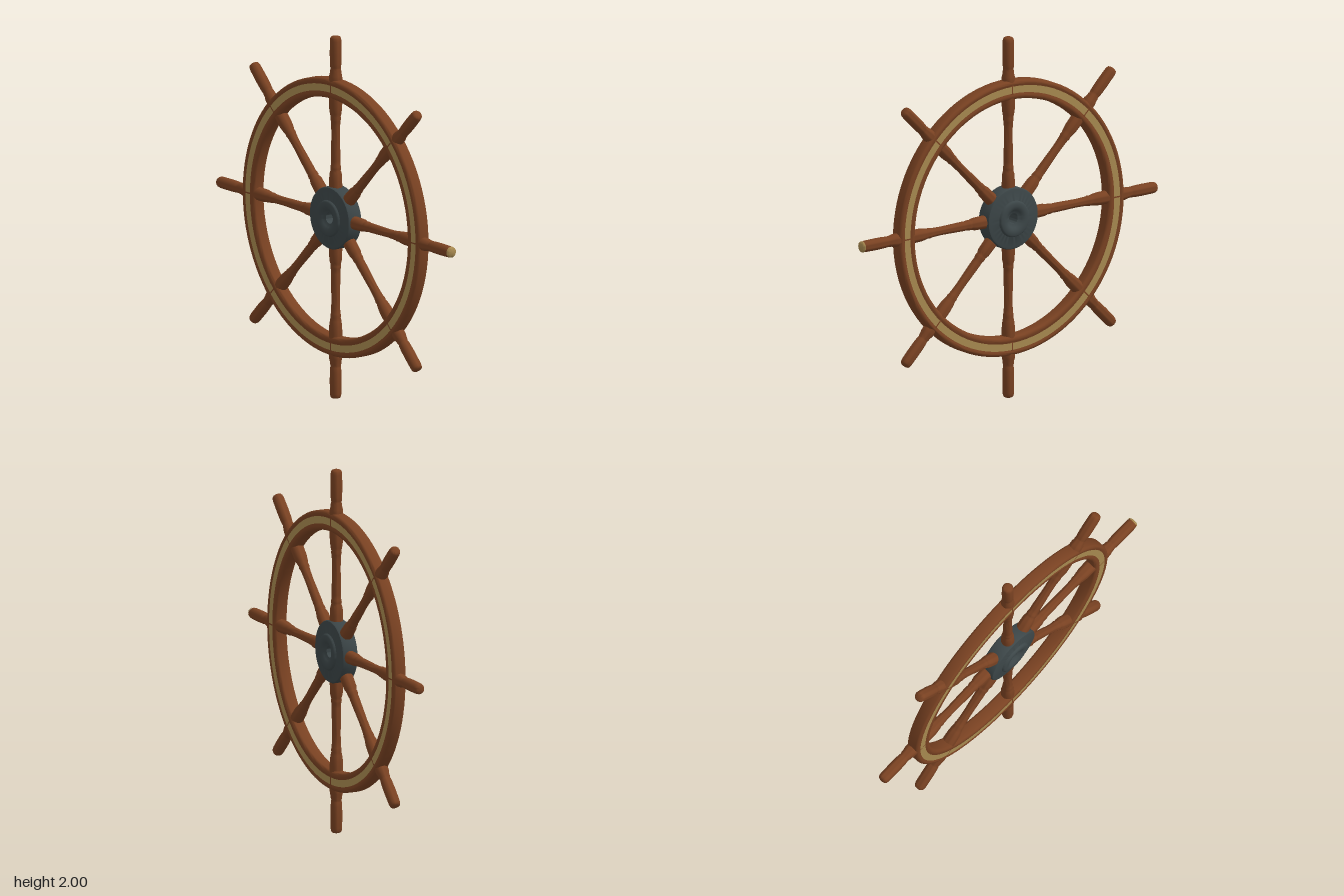
import * as THREE from 'three';
import { toCreasedNormals } from 'three/addons/utils/BufferGeometryUtils.js';

const mat = (name, color) => new THREE.MeshStandardMaterial({ name, color });

// Turned solid from [radius, height] pairs, with crisp steps kept sharp
function turned(points, segments, crease = 0.6) {
  const profile = points.map(([r, h]) => new THREE.Vector2(r, h));
  return toCreasedNormals(new THREE.LatheGeometry(profile, segments), crease);
}

// Closed ring around z, symmetric front to back, from the front half of its section
// (listed from the outer edge to the inner edge)
function ring(half, segments) {
  const back = half.map(([r, h]) => [r, -h]).reverse();
  return turned([...half, ...back, half[0]], segments).rotateX(Math.PI / 2);
}

export function createModel() {
  const wood = mat('wood', 0x7a4222);
  const brass = mat('brass', 0xa88a50);
  const iron = mat('iron', 0x3c4648);

  const wheel = new THREE.Group();
  wheel.name = 'shipWheel';
  wheel.position.y = 1;
  const add = (name, geometry, material, parent = wheel) => {
    const mesh = new THREE.Mesh(geometry, material);
    mesh.name = name;
    parent.add(mesh);
    return mesh;
  };

  // Moulded wooden rim with a shallow channel on each face
  add('rim', ring([
    [0.76, 0.024], [0.757, 0.031], [0.75, 0.036], [0.743, 0.038], [0.737, 0.037],
    [0.731, 0.033], [0.688, 0.033], [0.682, 0.037], [0.674, 0.038],
    [0.664, 0.036], [0.658, 0.031], [0.655, 0.024],
  ], 96), wood);

  // Brass bands laid in the channels
  for (const side of [1, -1]) {
    const band = new THREE.RingGeometry(0.69, 0.729, 96);
    if (side < 0) band.rotateY(Math.PI);
    band.translate(0, 0, side * 0.0355);
    add(side > 0 ? 'frontBand' : 'backBand', band, brass);
  }

  // Iron hub with raised bosses and a dished bore
  add('hub', ring([
    [0.17, 0.037], [0.166, 0.043], [0.155, 0.046], [0.1, 0.05], [0.096, 0.059],
    [0.09, 0.063], [0.07, 0.063], [0.058, 0.06], [0.048, 0.053],
    [0.04, 0.047], [0.03, 0.043],
  ], 64), iron);

  // Eight turned spokes, each ending in a handle
  const spokeGeometry = turned([
    [0.034, 0.12], [0.036, 0.17], [0.035, 0.2], [0.034, 0.235], [0.03, 0.25], [0.027, 0.258],
    [0.029, 0.268], [0.028, 0.28], [0.025, 0.29], [0.026, 0.31], [0.025, 0.36],
    [0.023, 0.45], [0.024, 0.5], [0.026, 0.53], [0.029, 0.54], [0.027, 0.552],
    [0.031, 0.57], [0.035, 0.6], [0.036, 0.64], [0.036, 0.765], [0.035, 0.78],
    [0.031, 0.795], [0.03, 0.81], [0.027, 0.818], [0.029, 0.826], [0.031, 0.85],
    [0.032, 0.9], [0.031, 0.97], [0.029, 0.985], [0.025, 0.993], [0.017, 0.997], [0, 0.998],
  ], 24, 0.9);
  for (let i = 0; i < 8; i++) {
    const spoke = new THREE.Group();
    spoke.name = `spoke${i + 1}`;
    spoke.rotation.z = i * Math.PI / 4 - Math.PI / 2;
    add('turnedSpoke', spokeGeometry, wood, spoke);
    // The king spoke carries a brass end cap
    if (i === 0) {
      const cap = turned([[0.0305, 0.987], [0.029, 0.994], [0.022, 0.999], [0, 1]], 24, 1);
      add('kingSpokeCap', cap, brass, spoke);
    }
    wheel.add(spoke);
  }

  const model = new THREE.Group();
  model.name = 'model';
  model.add(wheel);
  return model;
}
